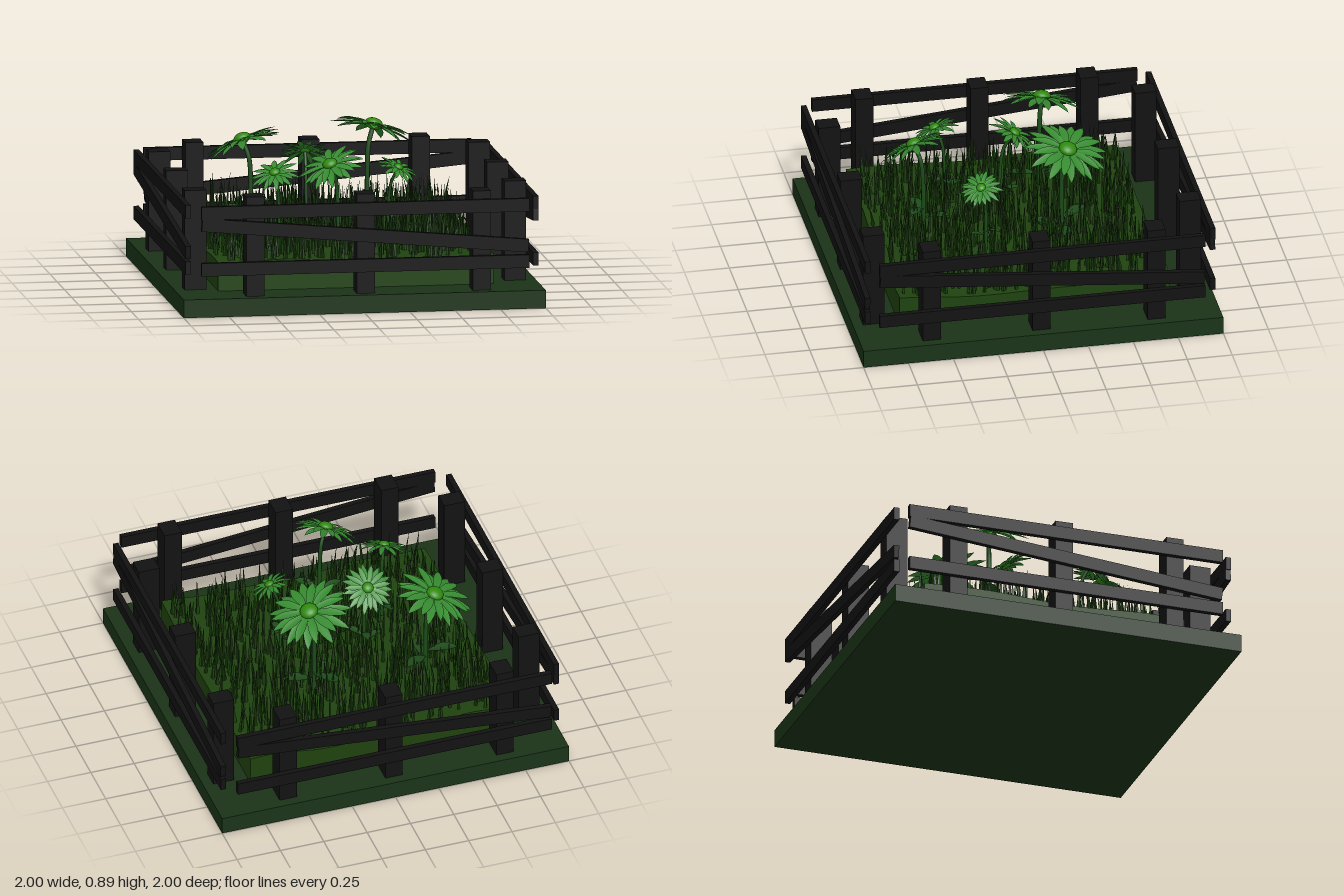
import * as THREE from 'three';
import { mergeGeometries } from 'three/addons/utils/BufferGeometryUtils.js';

const mat = (color, extra = {}) => new THREE.MeshStandardMaterial({ color, ...extra });
const baseMat = mat(0x1a3317);
const woodMat = mat(0x121212);
const soilMat = mat(0x1f420f);
const grassMat = mat(0x1b3d0e, { flatShading: true });
const stemMat = mat(0x1b4a18);
const leafMat = mat(0x1d4a1a, { side: THREE.DoubleSide });
const petalMat = mat(0x368a30, { side: THREE.DoubleSide });
const heartMat = mat(0x2f8a0c);

function seeded(seed) {
  let s = seed;
  return () => (s = (s * 16807) % 2147483647) / 2147483647;
}

function add(parent, name, geometry, material, x = 0, y = 0, z = 0) {
  const mesh = new THREE.Mesh(geometry, material);
  mesh.name = name;
  mesh.position.set(x, y, z);
  parent.add(mesh);
  return mesh;
}

// gently rolling height of the planted bed
const bedHeight = (x, z) => 0.25 + 0.015 * Math.sin(5 * x + 1) * Math.cos(4 * z) + 0.008 * Math.sin(11 * x + 7 * z);

function bedGeometry() {
  const geo = new THREE.BoxGeometry(1.52, 0.15, 1.5, 24, 1, 24);
  const p = geo.attributes.position;
  for (let i = 0; i < p.count; i++) {
    const x = p.getX(i) - 0.01;
    p.setX(i, x);
    p.setY(i, p.getY(i) > 0 ? bedHeight(x, p.getZ(i)) : 0.1);
  }
  geo.computeVertexNormals();
  return geo;
}

// one tapered blade of grass, curving towards a heading
function bladeGeometry(x, z, height, radius, lean, heading) {
  const geo = new THREE.ConeGeometry(radius, height, 4, 3);
  geo.translate(0, height / 2, 0);
  const p = geo.attributes.position;
  for (let i = 0; i < p.count; i++) {
    const t = p.getY(i) / height;
    p.setX(i, p.getX(i) + lean * t * t);
  }
  geo.rotateY(heading);
  geo.translate(x, bedHeight(x, z) - 0.02, z);
  return geo;
}

function grassGeometry() {
  const rnd = seeded(417);
  const blades = [];
  for (let i = 0; i < 800; i++) {
    const x = -0.01 + (rnd() - 0.5) * 1.47;
    const z = (rnd() - 0.5) * 1.45;
    // shorter towards the rim of the bed
    const rim = Math.max(Math.abs(x), Math.abs(z)) > 0.62 ? 0.75 : 1;
    blades.push(bladeGeometry(x, z, (0.17 + 0.13 * rnd()) * rim, 0.01 + 0.004 * rnd(), 0.035 * rnd(), rnd() * 6.283));
  }
  return mergeGeometries(blades);
}

// petal or leaf along +x: rows of left, ridge and right points
function petalGeometry(length, width, rise, droop) {
  const rows = 7, pos = [], idx = [];
  for (let i = 0; i <= rows; i++) {
    const t = i / rows;
    const w = width * 0.5 * (0.12 + 0.88 * Math.sin(Math.PI * Math.pow(t, 1.25))) * (i === rows ? 0 : 1);
    const y = rise * t - droop * t * t;
    pos.push(length * t, y, -w, length * t, y - w * 0.3, 0, length * t, y, w);
    if (i < rows) {
      for (let k = 0; k < 2; k++) {
        const a = i * 3 + k, b = a + 3;
        idx.push(a, a + 1, b, a + 1, b + 1, b);
      }
    }
  }
  const geo = new THREE.BufferGeometry();
  geo.setAttribute('position', new THREE.Float32BufferAttribute(pos, 3));
  geo.setIndex(idx);
  geo.computeVertexNormals();
  return geo;
}

function makeFlower(x, y, z, r, tiltX, tiltZ, seed) {
  const rnd = seeded(seed);
  const flower = new THREE.Group();
  flower.name = 'flower';
  const normal = new THREE.Vector3(tiltX, 1, tiltZ).normalize();
  const top = new THREE.Vector3(x, y, z);

  // curved stem meeting the underside of the head
  const rootX = x - tiltX * 0.12, rootZ = z - tiltZ * 0.12;
  const curve = new THREE.CatmullRomCurve3([
    new THREE.Vector3(rootX, 0.2, rootZ),
    new THREE.Vector3(rootX, 0.2 + (y - 0.2) * 0.5, rootZ),
    top.clone().addScaledVector(normal, -0.1),
    top
  ]);
  add(flower, 'stem', new THREE.TubeGeometry(curve, 16, 0.045 * r + 0.003, 7), stemMat);

  // low leaves on the stem
  for (let i = 0; i < 3; i++) {
    const leaf = add(flower, 'leaf', petalGeometry(r * 0.75, r * 0.32, 0.1, 0.07), leafMat, rootX, 0.3 + 0.03 * i, rootZ);
    leaf.rotation.y = i * 2.2 + seed;
  }

  // head with two staggered rings of petals
  const head = new THREE.Group();
  head.name = 'flowerHead';
  head.position.copy(top);
  head.quaternion.setFromUnitVectors(new THREE.Vector3(0, 1, 0), normal);
  flower.add(head);
  const petals = [];
  for (let ring = 0; ring < 2; ring++) {
    for (let i = 0; i < 11; i++) {
      const len = r * (ring ? 0.92 : 1) * (0.94 + 0.1 * rnd());
      const geo = petalGeometry(len, r * 0.22, r * (0.16 + 0.14 * ring), r * (0.26 + 0.1 * rnd()));
      geo.rotateY(((i + ring * 0.5) / 11) * Math.PI * 2 + (rnd() - 0.5) * 0.1);
      petals.push(geo);
    }
  }
  add(head, 'petals', mergeGeometries(petals), petalMat);
  const heart = add(head, 'flowerCentre', new THREE.SphereGeometry(r * 0.21, 18, 12), heartMat, 0, r * 0.06, 0);
  heart.scale.y = 0.65;
  return flower;
}

// one run of fence, seen from outside: three posts, two level rails, one slipped rail
function makeFenceSide(angle, shift) {
  const side = new THREE.Group();
  side.name = 'fenceSide';
  for (const x of [-0.61, 0, 0.64]) {
    add(side, 'post', new THREE.BoxGeometry(0.1, 0.55, 0.12), woodMat, x + shift, 0.375, 0.885);
  }
  const rail = (name, y, length) => add(side, name, new THREE.BoxGeometry(length, 0.072, 0.03), woodMat, shift * 0.5, y, 0.96);
  rail('topRail', 0.57, 1.81);
  rail('bottomRail', 0.258, 1.81);
  rail('slantedRail', 0.425, 1.81).rotation.z = -0.09;
  side.rotation.y = angle;
  return side;
}

export function createModel() {
  const model = new THREE.Group();
  model.name = 'fencedFlowerBed';

  add(model, 'base', new THREE.BoxGeometry(2, 0.1, 2), baseMat, 0, 0.05, 0);
  add(model, 'bed', bedGeometry(), soilMat);
  add(model, 'grass', grassGeometry(), grassMat);

  const fence = new THREE.Group();
  fence.name = 'fence';
  [0.015, 0, 0.01, -0.005].forEach((shift, i) => fence.add(makeFenceSide((i * Math.PI) / 2, shift)));
  model.add(fence);

  // head x, y, z, radius, lean in x, lean in z
  const flowers = [
    [-0.47, 0.75, -0.28, 0.23, -0.34, -0.18],
    [0.25, 0.81, -0.28, 0.24, 0.3, -0.2],
    [-0.16, 0.72, -0.065, 0.15, 0.05, -0.65],
    [0.31, 0.66, 0.21, 0.125, 0.4, 0.3],
    [-0.39, 0.67, 0.33, 0.145, -0.25, 0.4],
    [-0.11, 0.735, 0.5, 0.195, -0.4, 0.35]
  ];
  flowers.forEach((f, i) => model.add(makeFlower(...f, 11 + i * 37)));
  return model;
}
